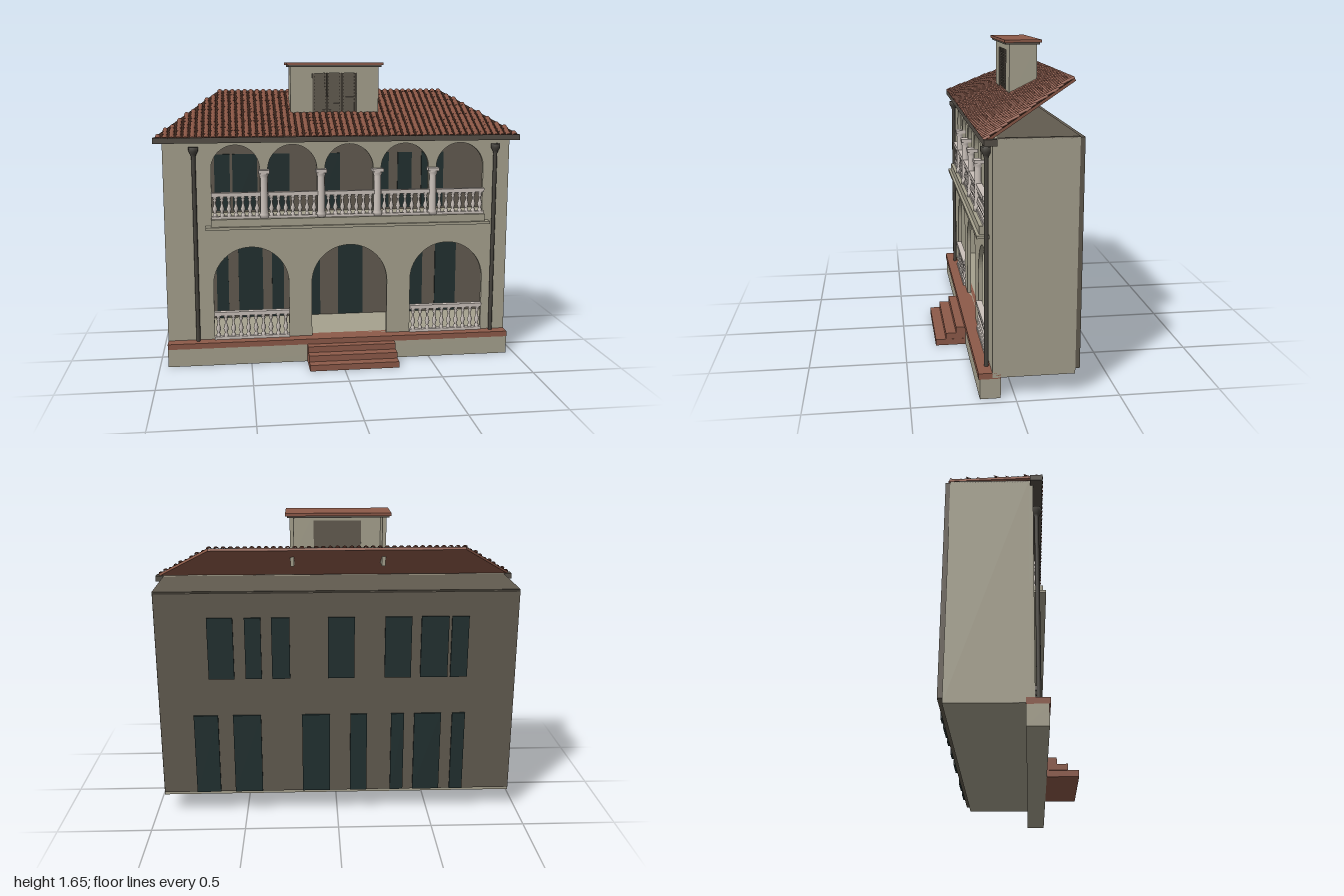
import * as THREE from 'three';
import { mergeGeometries } from 'three/addons/utils/BufferGeometryUtils.js';

const mat = (name, color, side = THREE.FrontSide) => {
  const m = new THREE.MeshStandardMaterial({ color, side });
  m.name = name;
  return m;
};

export function createModel() {
  const M = {
    plaster: mat('plaster', 0xa6a18e),
    backWall: mat('dark plaster', 0x625b50),
    brick: mat('red brick', 0x8d5a49),
    tile: mat('roof tile', 0x875443, THREE.DoubleSide),
    gap: mat('tile gap', 0x40291f),
    stone: mat('pale stone', 0xcbc2bb),
    glass: mat('dark glass', 0x223030),
    metal: mat('drain metal', 0x45423c),
    trim: mat('eave trim', 0x554f47),
  };
  const model = new THREE.Group();
  model.name = 'house';

  const add = (name, geo, material, parent = model) => {
    const mesh = new THREE.Mesh(geo, material);
    mesh.name = name;
    parent.add(mesh);
    return mesh;
  };
  // Box from its limits on each axis
  const boxGeo = (x0, x1, y0, y1, z0, z1) =>
    new THREE.BoxGeometry(x1 - x0, y1 - y0, z1 - z0)
      .translate((x0 + x1) / 2, (y0 + y1) / 2, (z0 + z1) / 2);
  const box = (name, material, ...b) => add(name, boxGeo(...b), material);

  // Plinth and front steps
  box('plinth', M.plaster, -0.955, 0.955, 0, 0.1, 0.07, 0.17);
  box('plinthCap', M.brick, -0.955, 0.955, 0.1, 0.13, 0.07, 0.176);
  [[0.333, 0], [0.278, 0.034], [0.222, 0.067]].forEach(([z, y], i) =>
    box('step' + (i + 1), M.brick, -0.19, 0.3, y, y + 0.0335, 0.165, z));

  // Front wall with arched openings
  const wall = new THREE.Shape();
  wall.moveTo(-0.955, 0.105).lineTo(0.955, 0.105).lineTo(0.955, 1.255).lineTo(-0.955, 1.255).closePath();
  const arch = (x0, x1, y0, top) => {
    const r = (x1 - x0) / 2;
    const p = new THREE.Path();
    p.moveTo(x0, y0).lineTo(x1, y0).lineTo(x1, top - r);
    p.absarc((x0 + x1) / 2, top - r, r, 0, Math.PI, false);
    p.closePath();
    wall.holes.push(p);
  };
  const lowerArches = [[-0.7, -0.285], [-0.157, 0.267], [0.4, 0.817]];
  lowerArches.forEach(([a, b]) => arch(a, b, 0.13, 0.648));
  const columns = [-0.417, -0.105, 0.207, 0.518];
  const bayEdges = [-0.722, ...columns, 0.83];
  for (let i = 0; i < 5; i++) arch(bayEdges[i] + 0.022, bayEdges[i + 1] - 0.022, 0.8, 1.21);
  add('frontWall', new THREE.ExtrudeGeometry(wall, { depth: 0.022, bevelEnabled: false, curveSegments: 20 })
    .translate(0, 0, 0.088), M.plaster);

  // Remaining shell
  for (const s of [-1, 1])
    box('sideWall', M.plaster, Math.min(s * 0.935, s * 0.955), Math.max(s * 0.935, s * 0.955), 0.105, 1.25, -0.29, 0.088);
  box('groundFloor', M.plaster, -0.935, 0.935, 0.105, 0.13, -0.29, 0.088);
  box('upperFloor', M.plaster, -0.935, 0.935, 0.755, 0.775, -0.29, 0.088);
  box('ceiling', M.backWall, -0.955, 0.955, 1.245, 1.255, -0.29, 0.088);
  box('backWall', M.backWall, -0.95, 0.95, 0.13, 1.25, -0.313, -0.288);

  // Windows and doors show on both faces of the back wall
  const lower = [[0.41, 0.56], [0.64, 0.77], [0.04, 0.19], [-0.16, -0.07], [-0.36, -0.29], [-0.56, -0.415], [-0.69, -0.62]];
  const upper = [[-0.69, -0.6], [-0.585, -0.44], [-0.39, -0.25], [-0.09, 0.05], [0.25, 0.345], [0.4, 0.485], [0.545, 0.68]];
  for (const [list, y0, y1, name] of [[lower, 0.133, 0.58, 'lowerWindow'], [upper, 0.787, 1.12, 'upperWindow']])
    for (const [a, b] of list) box(name, M.glass, a, b, y0, y1, -0.323, -0.279);

  // Balustrades: rails plus turned balusters
  const balustrade = (name, x0, x1, y0, y1, z, count) => {
    const g = new THREE.Group();
    g.name = name;
    model.add(g);
    add('bottomRail', boxGeo(x0, x1, y0, y0 + 0.016, z - 0.014, z + 0.014), M.stone, g);
    add('topRail', boxGeo(x0, x1, y1 - 0.022, y1, z - 0.016, z + 0.016), M.stone, g);
    const h = y1 - y0 - 0.038;
    const profile = [[0.012, 0], [0.012, 0.1], [0.006, 0.16], [0.014, 0.36], [0.006, 0.62], [0.006, 0.74], [0.011, 0.82], [0.007, 0.88], [0.012, 0.92], [0.012, 1]];
    const one = new THREE.LatheGeometry(profile.map(([r, t]) => new THREE.Vector2(r, t * h)), 8);
    const all = [];
    for (let i = 0; i < count; i++)
      all.push(one.clone().translate(x0 + (x1 - x0) * (i + 0.5) / count, y0 + 0.016, z));
    add('balusters', mergeGeometries(all), M.stone, g);
  };
  balustrade('leftPorchBalustrade', 0.4, 0.817, 0.13, 0.287, 0.108, 10);
  balustrade('rightPorchBalustrade', -0.7, -0.285, 0.13, 0.287, 0.108, 10);
  for (let i = 0; i < 5; i++)
    balustrade('balconyBalustrade', bayEdges[i] + 0.02, bayEdges[i + 1] - 0.02, 0.81, 0.955, 0.122, 7);

  // Balcony ledge
  box('balconyLedge', M.plaster, -0.735, 0.84, 0.757, 0.772, 0.1, 0.17);
  box('balconySlab', M.plaster, -0.705, 0.812, 0.772, 0.812, 0.1, 0.155);

  // Balcony columns with base and capital
  const shaft = new THREE.LatheGeometry([[0, 0], [0.026, 0], [0.026, 0.02], [0.022, 0.03], [0.019, 0.22], [0.025, 0.235], [0.025, 0.245]]
    .map(([r, y]) => new THREE.Vector2(r, y)), 16);
  for (const x of columns) {
    add('column', shaft, M.stone).position.set(x, 0.812, 0.122);
    box('capital', M.stone, x - 0.03, x + 0.03, 1.057, 1.075, 0.09, 0.148);
  }

  // Rain pipes with funnels
  const pipe = new THREE.LatheGeometry([[0.011, 0.13], [0.011, 1.15], [0.016, 1.165], [0.025, 1.18], [0.026, 1.203], [0, 1.203]]
    .map(([r, y]) => new THREE.Vector2(r, y)), 12);
  for (const x of [-0.79, 0.87]) add('rainPipe', pipe, M.metal).position.set(x, 0, 0.128);

  // Eave and sloped roof, built flat then tilted
  box('eave', M.trim, -1, 1, 1.225, 1.255, 0.095, 0.155);
  const rise = 0.235, run = 0.48, slope = Math.hypot(rise, run);
  const roof = new THREE.Group();
  roof.name = 'roof';
  roof.position.set(0, 1.243, 0.15);
  roof.rotation.x = Math.atan2(rise, run) - Math.PI / 2;
  model.add(roof);
  const plane = new THREE.Shape();
  plane.moveTo(-1, 0).lineTo(1, 0).lineTo(0.655, slope).lineTo(-0.655, slope).closePath();
  const slab = (depth, z) => new THREE.ExtrudeGeometry(plane, { depth, bevelEnabled: false }).translate(0, 0, z);
  add('roofDeck', slab(0.012, -0.006), M.brick, roof);
  add('tileBed', slab(0.003, 0.006), M.gap, roof);

  // Rows of tapered half-round tiles, clipped to the sloping sides
  const rows = 16, pitch = 0.036, step = slope / rows;
  const tile = new THREE.CylinderGeometry(0.0125, 0.0165, step * 1.05, 5, 1, true, -Math.PI / 2, Math.PI).scale(1, 1, 0.8);
  tile.rotateX(0.06);
  const tiles = [];
  for (let r = 0; r < rows; r++) {
    const y = (r + 0.5) * step;
    const half = 1 - 0.345 * y / slope;
    for (let c = -28; c <= 28; c++)
      if (Math.abs(c * pitch) < half - 0.008) tiles.push(tile.clone().translate(c * pitch, y, 0.008));
  }
  add('roofTiles', mergeGeometries(tiles), M.tile, roof);

  // Dormer, open at the back, with shuttered opening
  box('dormerFront', M.plaster, -0.255, -0.132, 1.37, 1.625, -0.094, -0.074);
  box('dormerFront', M.plaster, 0.118, 0.242, 1.37, 1.625, -0.094, -0.074);
  box('dormerLintel', M.plaster, -0.132, 0.118, 1.588, 1.625, -0.094, -0.074);
  box('dormerSide', M.plaster, -0.255, -0.235, 1.368, 1.625, -0.22, -0.094);
  box('dormerSide', M.plaster, 0.222, 0.242, 1.368, 1.625, -0.22, -0.094);
  box('dormerCapLower', M.trim, -0.268, 0.255, 1.622, 1.632, -0.232, -0.052);
  box('dormerCap', M.brick, -0.278, 0.264, 1.632, 1.647, -0.24, -0.045);
  box('shutterBack', M.backWall, -0.132, 0.118, 1.37, 1.588, -0.093, -0.086);
  for (let p = 0; p < 3; p++) {
    const x0 = -0.132 + p * 0.0833, x1 = x0 + 0.0833;
    const parts = [boxGeo(x0 + 0.002, x0 + 0.012, 1.37, 1.588, -0.086, -0.077), boxGeo(x1 - 0.012, x1 - 0.002, 1.37, 1.588, -0.086, -0.077)];
    for (let i = 0; i < 12; i++)
      parts.push(boxGeo(x0 + 0.012, x1 - 0.012, 1.374 + i * 0.018, 1.385 + i * 0.018, -0.086, -0.08));
    add('shutter', mergeGeometries(parts), M.backWall);
  }
  return model;
}
